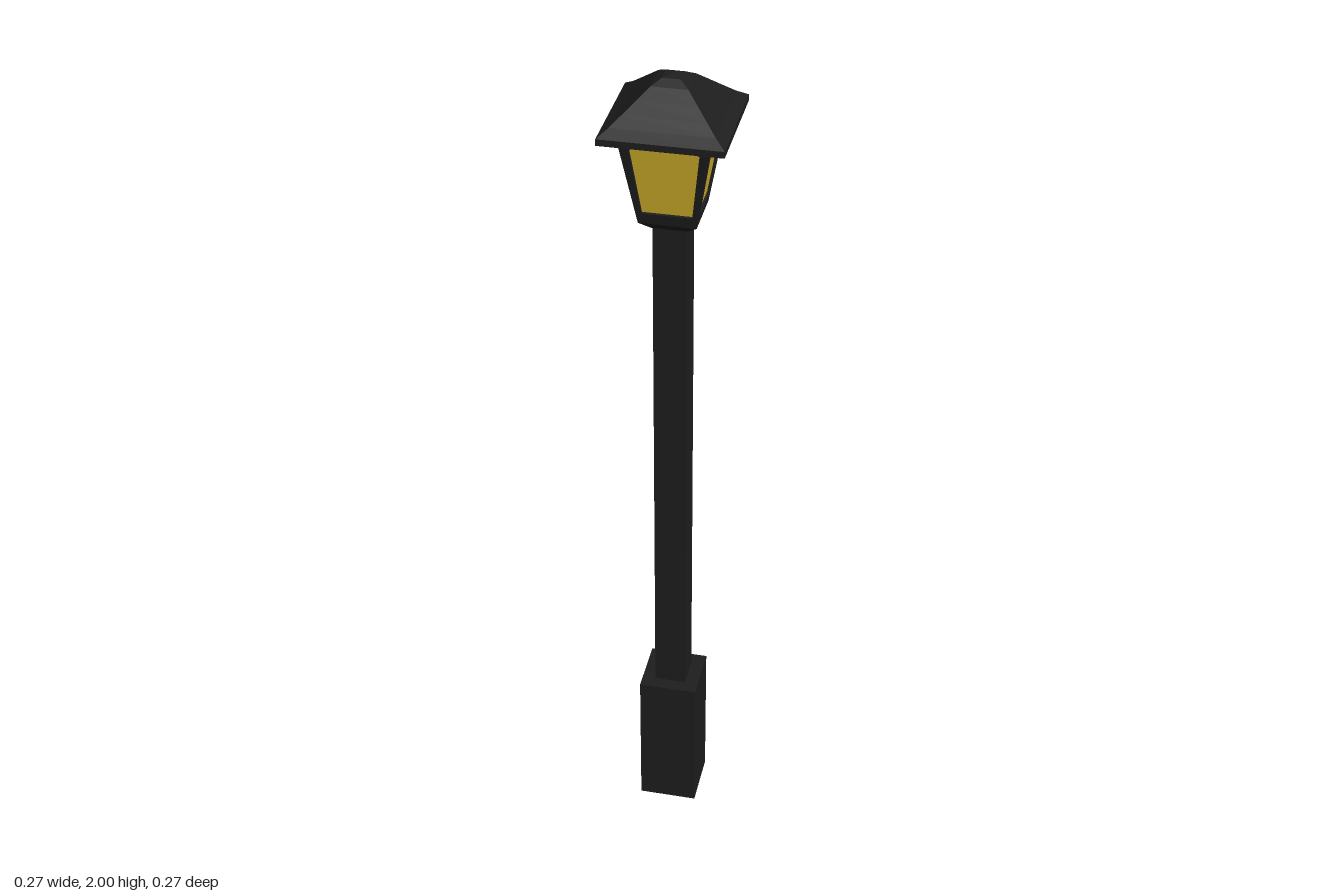
import * as THREE from 'three';

const iron = new THREE.MeshStandardMaterial({ color: 0x1e1e1e, flatShading: true });
const amber = new THREE.MeshStandardMaterial({ color: 0xd4b42c, side: THREE.DoubleSide, flatShading: true });

// Square loft: profile of [half width, height], listed from bottom to top
function squareLoft(name, profile) {
  const points = profile.map(([w, y]) => new THREE.Vector2(w * Math.SQRT2, y));
  const mesh = new THREE.Mesh(new THREE.LatheGeometry(points, 4, Math.PI / 4), iron);
  mesh.name = name;
  return mesh;
}

// Outline of a window with a gently arched top
function windowOutline(Type) {
  const outline = new Type();
  outline.moveTo(-0.055, 0.026);
  outline.lineTo(0.055, 0.026);
  outline.lineTo(0.075, 0.19);
  outline.quadraticCurveTo(0.04, 0.204, 0, 0.204);
  outline.quadraticCurveTo(-0.04, 0.204, -0.075, 0.19);
  outline.closePath();
  return outline;
}

export function createModel() {
  const model = new THREE.Group();
  model.name = 'streetLamp';

  // Pedestal and square post
  model.add(squareLoft('base', [[0, 0], [0.07, 0], [0.07, 0.367], [0, 0.367]]));
  model.add(squareLoft('post', [[0, 0.36], [0.038, 0.36], [0.038, 1.66], [0, 1.66]]));

  // Tapered collar and floor of the lantern
  model.add(squareLoft('lanternCollar', [[0, 1.652], [0.04, 1.652], [0.064, 1.675], [0.058, 1.69], [0, 1.69]]));

  // Four leaning frames with glass
  const low = 0.064, high = 0.1, bottom = 1.675, rise = 0.212, depth = 0.012;
  const lean = Math.atan2(high - low, rise);
  const slant = Math.hypot(high - low, rise);
  const frame = new THREE.Shape();
  frame.moveTo(-low, 0);
  frame.lineTo(low, 0);
  frame.lineTo(high, slant);
  frame.lineTo(-high, slant);
  frame.closePath();
  frame.holes.push(windowOutline(THREE.Path));
  const frameGeometry = new THREE.ExtrudeGeometry(frame, { depth, bevelEnabled: false, curveSegments: 4 });
  frameGeometry.translate(0, 0, -depth);
  const glassGeometry = new THREE.ShapeGeometry(windowOutline(THREE.Shape), 4);
  glassGeometry.translate(0, 0, -0.006);

  for (let i = 0; i < 4; i++) {
    const side = new THREE.Group();
    side.name = 'lanternSide';
    const panel = new THREE.Group();
    panel.name = 'lanternPanel';
    panel.position.set(0, bottom, low);
    panel.rotation.x = lean;
    const frameMesh = new THREE.Mesh(frameGeometry, iron);
    frameMesh.name = 'windowFrame';
    const glass = new THREE.Mesh(glassGeometry, amber);
    glass.name = 'glass';
    panel.add(frameMesh, glass);
    side.add(panel);
    side.rotation.y = i * Math.PI / 2;
    model.add(side);
  }

  // Flared roof with a rounded crown
  model.add(squareLoft('roof', [
    [0, 1.885], [0.135, 1.885], [0.135, 1.9], [0.112, 1.917], [0.09, 1.937],
    [0.065, 1.96], [0.04, 1.983], [0.02, 1.995], [0, 2],
  ]));

  return model;
}
